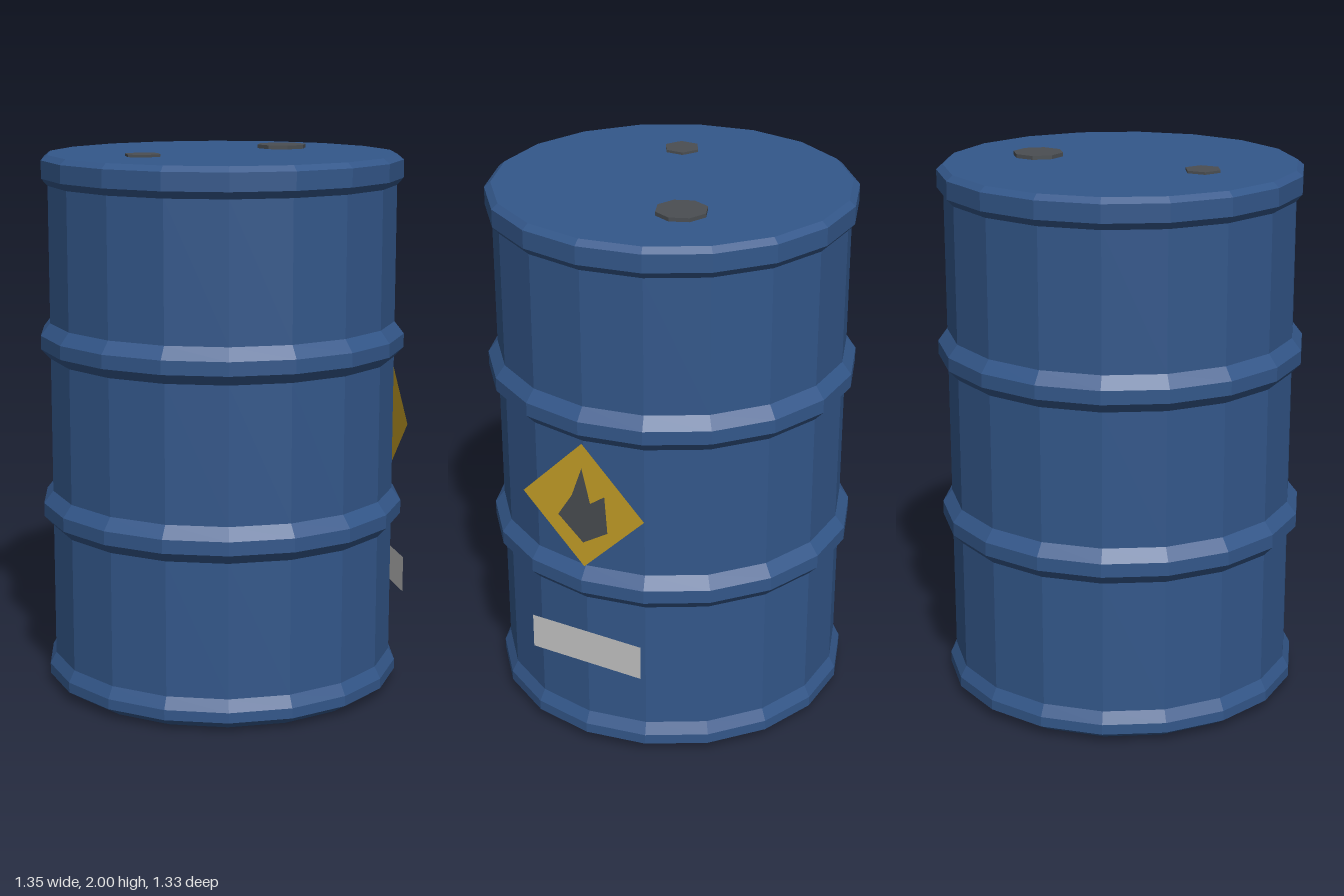
import * as THREE from 'three';

const SIDES = 18;
const LABEL_X = 0.651;

function material(name, color, side = THREE.FrontSide) {
  const m = new THREE.MeshStandardMaterial({ color, side });
  m.name = name;
  return m;
}

// Faceted normals for the low-poly look
function faceted(geometry) {
  const g = geometry.index ? geometry.toNonIndexed() : geometry;
  g.computeVertexNormals();
  return g;
}

export function createModel() {
  const group = new THREE.Group();
  group.name = 'oilDrum';

  const blue = material('drum blue', 0x33578a);
  const dark = material('dark grey', 0x4a4e52);
  const darkPrint = material('dark print', 0x4a4e52, THREE.DoubleSide);
  const yellow = material('warning yellow', 0xc6a028, THREE.DoubleSide);
  const pale = material('label grey', 0xc6c6c6, THREE.DoubleSide);

  const add = (name, geometry, mat) => {
    const mesh = new THREE.Mesh(geometry, mat);
    mesh.name = name;
    group.add(mesh);
    return mesh;
  };

  // Drum shell: bottom rim, two rolling hoops, top rim and flat lid
  const hoop = (y) => [[0.64, y - 0.065], [0.675, y - 0.028], [0.675, y + 0.022], [0.64, y + 0.067]];
  const profile = [
    [0, 0], [0.605, 0], [0.663, 0.037], [0.663, 0.075], [0.64, 0.118],
    ...hoop(0.68), ...hoop(1.31),
    [0.64, 1.876], [0.663, 1.902], [0.663, 1.967], [0.64, 1.986], [0, 1.986],
  ].map(([r, y]) => new THREE.Vector2(r, y));
  add('drumShell', faceted(new THREE.LatheGeometry(profile, SIDES, Math.PI / 2)), blue);

  // Bung caps on the lid: radius, sides, x, z, top height
  for (const [name, r, n, x, z, top] of [
    ['largeCap', 0.093, 8, 0.27, -0.183, 2.0],
    ['smallCap', 0.067, 6, -0.315, 0.132, 1.995],
  ]) {
    const h = 0.03;
    add(name, faceted(new THREE.CylinderGeometry(r, r, h, n)), dark).position.set(x, top - h / 2, z);
  }

  // Flat stickers on the left side, outlined as [across, height]
  const sticker = (name, points, mat, lift = 0) => {
    const shape = new THREE.Shape(points.map(([u, y]) => new THREE.Vector2(u, y)));
    const mesh = add(name, new THREE.ShapeGeometry(shape), mat);
    mesh.rotation.y = Math.PI / 2;
    mesh.position.x = LABEL_X + lift;
  };
  sticker('warningDiamond', [[0, 0.748], [0.245, 0.993], [0, 1.238], [-0.245, 0.993]], yellow);
  sticker('flameSymbol', [
    [0, 1.144], [-0.042, 1.028], [-0.1, 0.937], [0, 0.848],
    [0.1, 0.911], [0.09, 1.054], [0.032, 1.012],
  ], darkPrint, 0.004);
  sticker('paleLabel', [[-0.226, 0.341], [0.226, 0.341], [0.226, 0.475], [-0.226, 0.475]], pale);

  return group;
}
